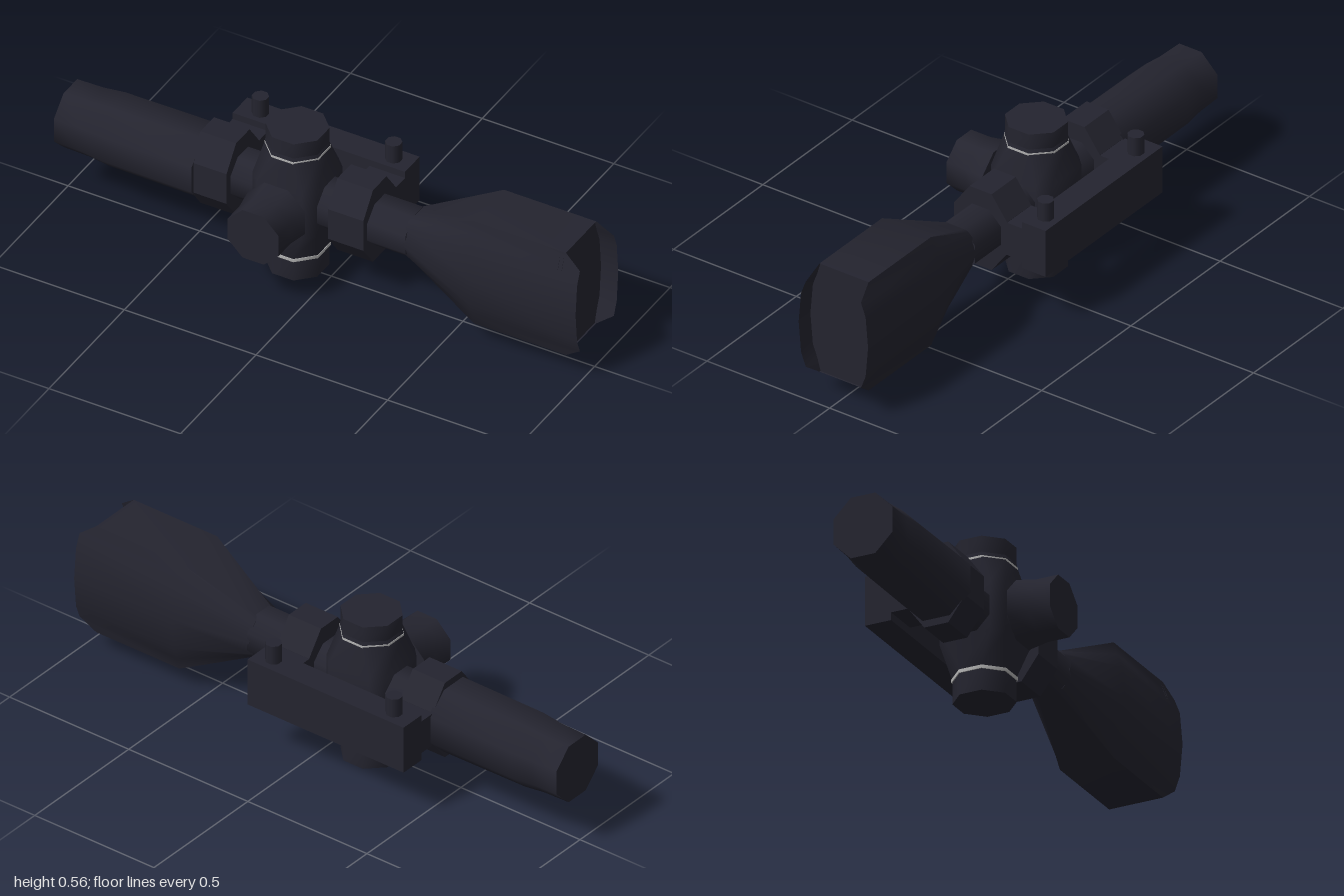
import * as THREE from 'three';
import { toCreasedNormals } from 'three/addons/utils/BufferGeometryUtils.js';

const CY = 0.29, CZ = -0.015; // main optical axis
const TX = -0.137;            // turret position along the tube

// Octagonal section; k is the half length of each flat relative to the half size
const oct = (hu, hv = hu, k = 0.414) => [
  [hu, -k * hv], [hu, k * hv], [k * hu, hv], [-k * hu, hv],
  [-hu, k * hv], [-hu, -k * hv], [-k * hu, -hv], [k * hu, -hv],
];

// Local (u, v, w) to world, with w running along the chosen axis
const toWorld = {
  x: (u, v, w) => [w, CY + u, CZ + v],
  y: (u, v, w) => [TX + v, w, CZ + u],
  z: (u, v, w) => [TX + u, CY + v, w],
};

// Skin a list of rings of [u, v, w] points, with optional end caps
function loft(axis, rings, { start = true, end = true, crease = 0.9 } = {}) {
  const pos = [];
  const put = (...pts) => pts.forEach((p) => pos.push(...toWorld[axis](...p)));
  const n = rings[0].length;
  for (let i = 0; i < rings.length - 1; i++) {
    for (let j = 0; j < n; j++) {
      const k = (j + 1) % n;
      const a = rings[i][j], b = rings[i][k], c = rings[i + 1][k], d = rings[i + 1][j];
      put(a, b, c, a, c, d);
    }
  }
  const first = rings[0], last = rings[rings.length - 1];
  for (let j = 1; j < n - 1; j++) {
    if (start) put(first[0], first[j + 1], first[j]);
    if (end) put(last[0], last[j], last[j + 1]);
  }
  const g = new THREE.BufferGeometry();
  g.setAttribute('position', new THREE.Float32BufferAttribute(pos, 3));
  g.computeVertexNormals();
  return toCreasedNormals(g, crease);
}

const at = (section, w) => section.map(([u, v]) => [u, v, w]);

export function createModel() {
  const model = new THREE.Group();
  const dark = new THREE.MeshStandardMaterial({ color: 0x24242f, side: THREE.DoubleSide });
  dark.name = 'darkMetal';
  const light = new THREE.MeshStandardMaterial({ color: 0xb4b4b4 });
  light.name = 'lightMarking';

  const add = (name, geometry, material = dark) => {
    const mesh = new THREE.Mesh(geometry, material);
    mesh.name = name;
    model.add(mesh);
    return mesh;
  };
  const box = (name, x0, x1, y0, y1, z0, z1) => {
    const mesh = add(name, new THREE.BoxGeometry(x1 - x0, y1 - y0, z1 - z0));
    mesh.position.set((x0 + x1) / 2, (y0 + y1) / 2, (z0 + z1) / 2);
  };

  // Main tube and eyepiece
  add('mainTube', loft('x', [at(oct(0.083), -0.5), at(oct(0.083), 0.32)]));
  add('eyepiece', loft('x', [
    at(oct(0.11), -1), at(oct(0.112), -0.9), at(oct(0.12), -0.82), at(oct(0.122), -0.47),
  ]));

  // Objective bell: tall rounded section, its rim notched at top and bottom
  const quarter = [[0.21, 0.1], [0.165, 0.1125], [0.115, 0.1315]];
  const half = [...quarter, [0, 0.1415], ...quarter.map(([u, v]) => [-u, v]).reverse()];
  const bell = [...half, ...half.map(([u, v]) => [-u, -v])];
  const throat = bell.map(([u, v]) => {
    const s = 0.085 / Math.hypot(u, v);
    return [u * s, v * s];
  });
  const rim = bell.map(([u, v]) => [u, v, Math.abs(u) > 0.2 ? 0.94 : 1]);
  add('objectiveBell', loft('x', [at(throat, 0.31), at(bell, 0.59), rim], { end: false }));
  const lens = bell.map(([u, v]) => [u * 0.995, v * 0.995]);
  add('objectiveLens', loft('x', [at(lens, 0.92), at(lens, 0.935)]));

  // Turret housing: nearly square in the middle, octagonal at both ends
  add('turretHousing', loft('y', [
    at(oct(0.098), 0.075), at(oct(0.101), 0.095), at(oct(0.122, 0.122, 0.7), 0.2),
    at(oct(0.122, 0.122, 0.7), 0.38), at(oct(0.101), 0.485), at(oct(0.098), 0.505),
  ]));

  // Top and bottom knobs with their light index bands
  add('topKnob', loft('y', [at(oct(0.0985), 0.49), at(oct(0.0985), 0.56)]));
  add('bottomKnob', loft('y', [at(oct(0.0985), 0), at(oct(0.0985), 0.09)]));
  for (const [name, y] of [['topIndexBand', 0.482], ['bottomIndexBand', 0.084]]) {
    add(name, loft('y', [at(oct(0.102), y - 0.006), at(oct(0.102), y + 0.006)]), light);
  }

  // Side knob on a narrow neck
  add('sideKnobNeck', loft('z', [at(oct(0.073), 0.08), at(oct(0.073), 0.13)]));
  add('sideKnob', loft('z', [
    at(oct(0.109), 0.126), at(oct(0.0975), 0.2), at(oct(0.0975), 0.28),
  ]));

  // Mounting rings, each with an arm and clamp screw on the rail block
  for (const [x0, x1] of [[-0.48, -0.345], [0.04, 0.175]]) {
    add('mountRing', loft('x', [at(oct(0.147, 0.108), x0), at(oct(0.147, 0.108), x1)], { crease: 0.3 }));
    box('mountArm', x0, x1, 0.225, 0.35, -0.2, -0.09);
    const screw = add('clampScrew', new THREE.CylinderGeometry(0.029, 0.029, 0.09, 8));
    screw.position.set((x0 + x1) / 2 + (x0 < 0 ? 0.012 : -0.002), 0.4, -0.229);
    screw.rotation.y = Math.PI / 8;
  }
  box('railBlock', -0.48, 0.175, 0.197, 0.375, -0.28, -0.183);

  return model;
}
